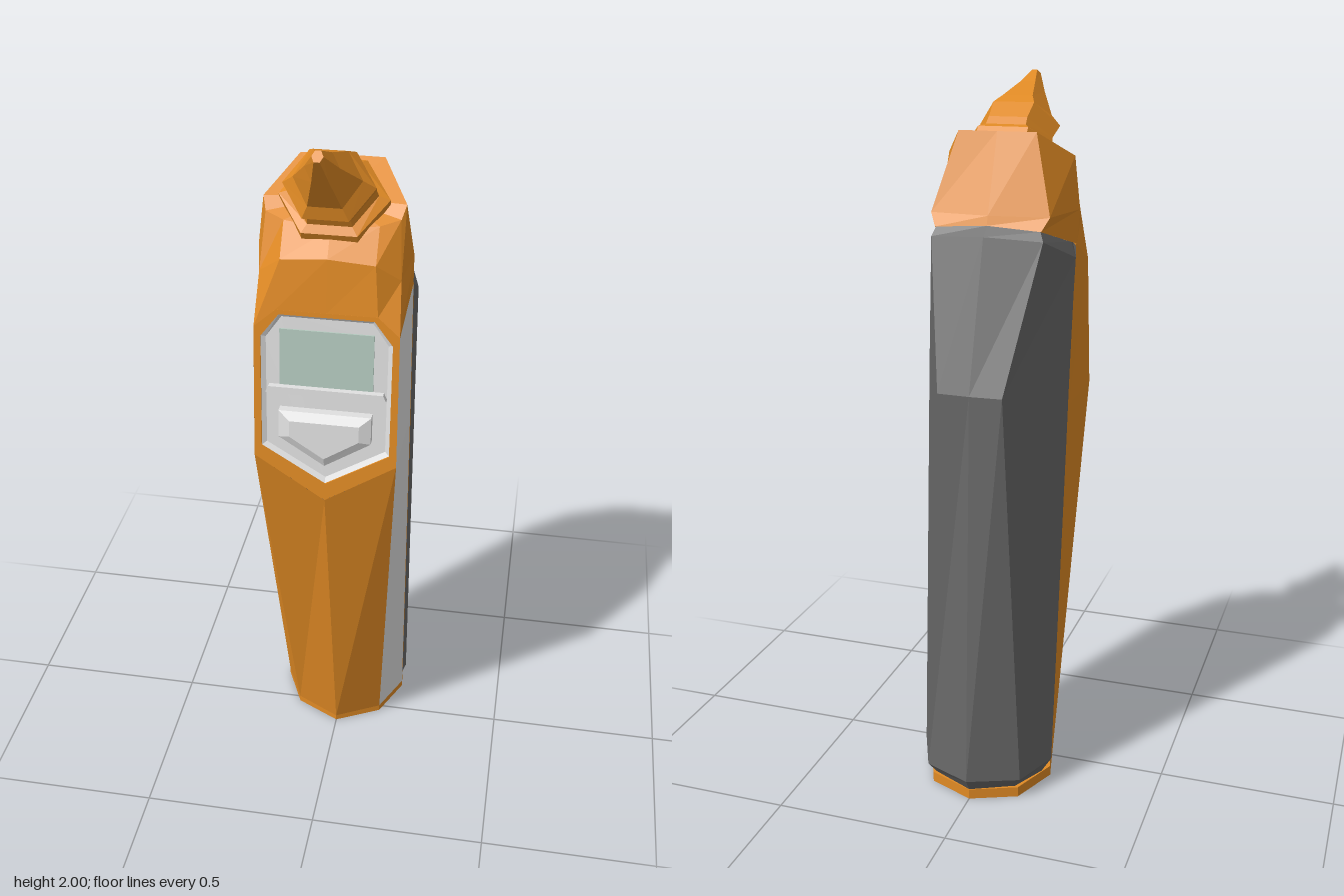
import * as THREE from 'three';

const mat = (name, color) => Object.assign(
  new THREE.MeshStandardMaterial({ color, flatShading: true, side: THREE.DoubleSide }), { name });

// Skin through rings of [x, y, z] points; capA / capB close the first and last ring
function loft(rings, { closed = true, capA = false, capB = false } = {}) {
  const pos = [];
  const tri = (a, b, c) => pos.push(...a, ...b, ...c);
  for (let r = 0; r < rings.length - 1; r++) {
    const a = rings[r], b = rings[r + 1], n = a.length;
    for (let i = 0; i < (closed ? n : n - 1); i++) {
      const j = (i + 1) % n;
      tri(a[i], a[j], b[j]);
      tri(a[i], b[j], b[i]);
    }
  }
  const cap = (ring, flip) => {
    const c = [0, 1, 2].map(k => ring.reduce((s, p) => s + p[k], 0) / ring.length);
    ring.forEach((p, i) => {
      const q = ring[(i + 1) % ring.length];
      flip ? tri(c, q, p) : tri(c, p, q);
    });
  };
  if (capA) cap(rings[0], true);
  if (capB) cap(rings[rings.length - 1], false);
  const g = new THREE.BufferGeometry();
  g.setAttribute('position', new THREE.Float32BufferAttribute(pos, 3));
  g.computeVertexNormals();
  return g;
}

const flip = pts => pts.map(([x, ...rest]) => [-x, ...rest]).reverse();
// Full ring from its +x half, listed front centre to back centre
const ringOf = half => [...half, ...flip(half.filter(p => p[0] > 0))];
// Symmetric outline, from the +x half listed from bottom to top
const outline = half => [...half, ...flip(half.filter(p => p[0] > 0))];
// Sloping front face that carries the display
const faceZ = y => 0.25 - 0.09 * (y - 1.12);

// Flat plate lying on the sloping front face
function plate(pts, z, depth, hole) {
  const shape = new THREE.Shape(pts.map(p => new THREE.Vector2(...p)));
  if (hole) shape.holes.push(new THREE.Path(hole.map(p => new THREE.Vector2(...p))));
  const g = new THREE.ExtrudeGeometry(shape, { depth, bevelEnabled: false });
  const p = g.attributes.position;
  for (let i = 0; i < p.count; i++) p.setZ(i, p.getZ(i) + z + faceZ(p.getY(i)));
  g.computeVertexNormals();
  return g;
}

export function createModel() {
  const group = new THREE.Group();
  const orange = mat('orange', 0xe08a24);
  const light = mat('light grey', 0xe0e0e0);
  const dark = mat('dark grey', 0x686868);
  const glass = mat('screen green', 0xb4cabf);
  const add = (name, geo, m) => {
    const mesh = new THREE.Mesh(geo, m);
    mesh.name = name;
    group.add(mesh);
  };

  // Octagonal foot
  const foot = y => ringOf([[0, y, 0.085], [0.13, y, 0.02], [0.188, y, -0.105], [0.13, y, -0.245], [0, y, -0.3]]);
  add('foot', loft([foot(0), foot(0.03)], { capA: true, capB: true }), orange);

  // Tapering front shell below the display
  add('frontShell', loft([
    [[-0.13, 0.02, 0.02], [0, 0.02, 0.087], [0.13, 0.02, 0.02]],
    [[-0.19, 1.12, 0.25], [0, 1.0, 0.261], [0.19, 1.12, 0.25]],
  ], { closed: false }), orange);

  // Side walls: light panel on the left, plain on the right
  const side = [
    [[0.13, 0.02, 0.02], [0.188, 0.02, -0.105]],
    [[0.19, 1.12, 0.25], [0.196, 1.12, 0.005]],
    [[0.187, 1.49, 0.217], [0.198, 1.56, 0.05]],
  ];
  add('leftSidePanel', loft(side, { closed: false }), light);
  add('rightSidePanel', loft(side.map(flip), { closed: false }), orange);

  // Thin seams between shell and grip
  const seam = side.map(([, [x, y, z]]) => [[x, y, z], [x, y, z - 0.012]]);
  add('leftSeam', loft(seam, { closed: false }), orange);
  add('rightSeam', loft(seam.map(flip), { closed: false }), orange);

  // Faceted back grip with bevelled rim
  const grip = [
    [[0.17, 0.03, -0.115], [0.17, 0.03, -0.14], [0.12, 0.03, -0.24], [0, 0.03, -0.298]],
    [[0.188, 0.06, -0.108], [0.196, 0.07, -0.13], [0.14, 0.065, -0.26], [0, 0.07, -0.325]],
    [[0.195, 1.2, 0.008], [0.203, 1.2, -0.035], [0.09, 1.2, -0.271], [0, 1.2, -0.275]],
    [[0.198, 1.555, 0.042], [0.207, 1.53, 0.008], [0.155, 1.59, -0.128], [0, 1.6, -0.155]],
    [[0.19, 1.565, 0.04], [0.192, 1.57, 0.015], [0.145, 1.615, -0.118], [0, 1.625, -0.125]],
  ].map(h => [...h, ...flip(h.slice(0, 3))]);
  add('backGrip', loft(grip, { closed: false, capA: true }), dark);

  // Faceted head
  add('head', loft([
    [[0, 1.54, 0.212], [0.13, 1.54, 0.212], [0.187, 1.49, 0.217], [0.198, 1.56, 0.05],
      [0.147, 1.615, -0.12], [0, 1.625, -0.125]],
    [[0, 1.68, 0.195], [0.12, 1.67, 0.192], [0.18, 1.62, 0.16], [0.2, 1.65, 0.07],
      [0.165, 1.65, -0.1], [0, 1.65, -0.117]],
    [[0, 1.74, 0.15], [0.12, 1.75, 0.135], [0.17, 1.76, 0.11], [0.18, 1.79, 0.085],
      [0.108, 1.86, -0.036], [0, 1.86, -0.038]],
  ].map(ringOf), { capB: true }), orange);

  // Six-sided stepped probe: top point, bottom point (z, y) and half width per ring
  const probe = [
    [[0.0, 1.855], [0.16, 1.71], 0.14],
    [[0.012, 1.868], [0.172, 1.735], 0.14],
    [[0.035, 1.872], [0.16, 1.755], 0.112],
    [[0.055, 1.89], [0.17, 1.775], 0.108],
    [[0.105, 1.925], [0.22, 1.795], 0.115],
    [[0.14, 1.94], [0.226, 1.83], 0.085],
    [[0.235, 1.972], [0.28, 1.915], 0.042],
    [[0.3, 2.0], [0.322, 1.98], 0.014],
  ].map(([[uz, uy], [lz, ly], w]) => {
    const cy = (uy + ly) / 2, cz = (uz + lz) / 2;
    return [[-w / 2, ly, lz], [w / 2, ly, lz], [w, cy, cz], [w / 2, uy, uz], [-w / 2, uy, uz], [-w, cy, cz]];
  });
  add('probe', loft(probe, { capA: true, capB: true }), orange);

  // Display: orange rim around a recessed light plate
  const rim = outline([[0, 1.0], [0.19, 1.12], [0.187, 1.49], [0.13, 1.54]]);
  const opening = outline([[0, 1.05], [0.17, 1.15], [0.17, 1.465], [0.122, 1.528]]);
  const inner = outline([[0, 1.065], [0.158, 1.158], [0.158, 1.46], [0.117, 1.518]]);
  add('displayRim', plate(rim, -0.02, 0.02, opening), orange);
  add('displayPlate', plate(opening, -0.02, 0.008), light);
  const onFace = (pts, z) => pts.map(([x, y]) => [x, y, faceZ(y) + z]);
  add('displayBevel', loft([onFace(opening, -0.004), onFace(inner, -0.011)]), light);

  // Screen, the ridge below it and the pentagonal button
  add('screen', plate(outline([[0.122, 1.33], [0.122, 1.485]]), -0.012, 0.004), glass);
  add('displayRidge', plate(outline([[0.158, 1.31], [0.15, 1.328]]), -0.013, 0.017), light);
  const pentagon = [[0, 1.112], [0.122, 1.188], [0.122, 1.265]];
  const top = [[0, 1.14], [0.092, 1.198], [0.092, 1.243]];
  add('button', loft([onFace(outline(pentagon), -0.013), onFace(outline(pentagon), 0.01),
    onFace(outline(top), 0.023)], { capB: true }), light);

  return group;
}
